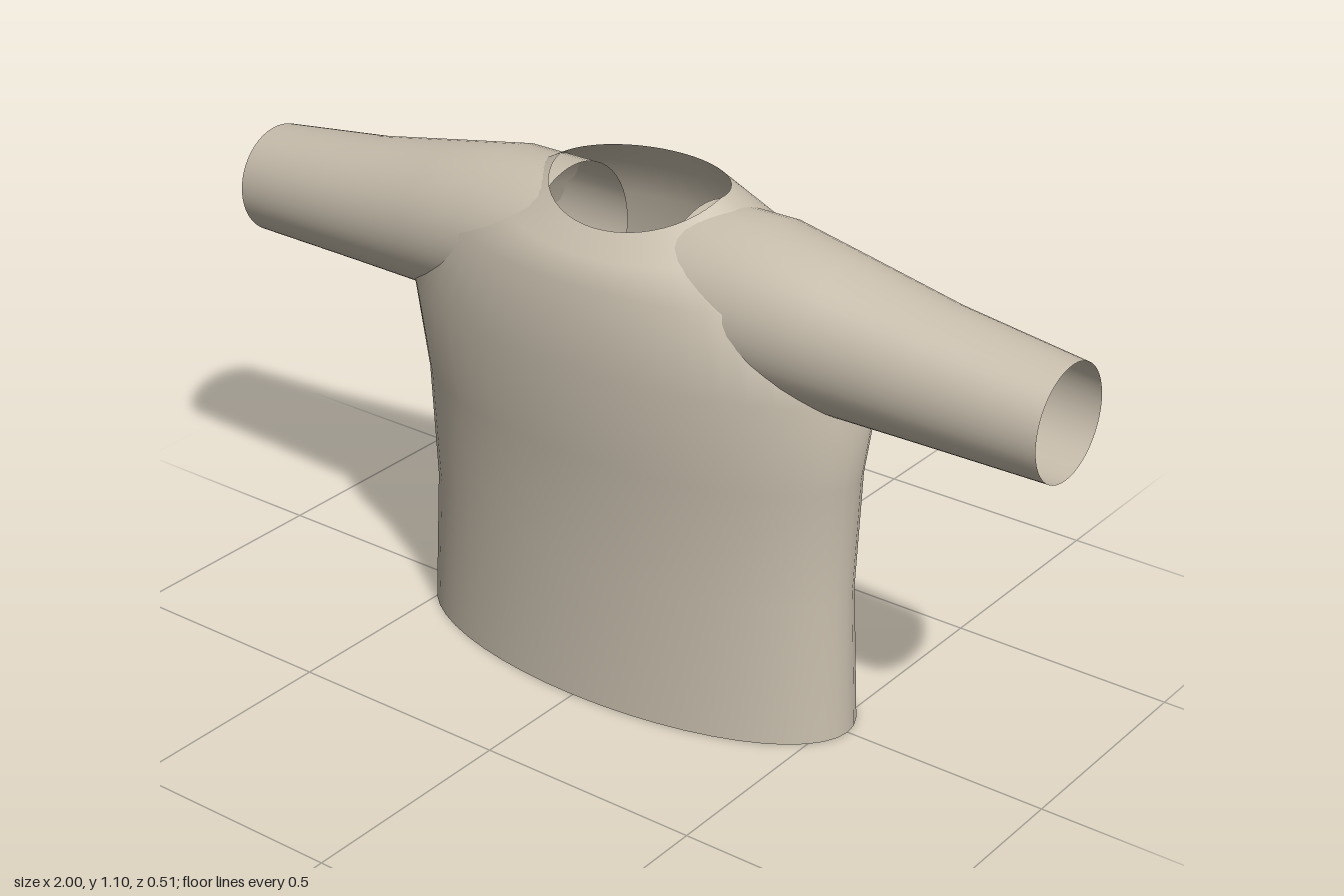
import * as THREE from 'three';

const SIDES = 48;

// Open tube lofted through rings; pointAt(ring, angle) returns [x, y, z]
function loft(rings, pointAt) {
  const positions = [];
  const index = [];
  rings.forEach((ring, j) => {
    for (let i = 0; i < SIDES; i++) {
      positions.push(...pointAt(ring, (i / SIDES) * Math.PI * 2));
      if (j === rings.length - 1) continue;
      const a = j * SIDES + i;
      const b = j * SIDES + ((i + 1) % SIDES);
      index.push(a, a + SIDES, b, b, a + SIDES, b + SIDES);
    }
  });
  const geometry = new THREE.BufferGeometry();
  geometry.setAttribute('position', new THREE.Float32BufferAttribute(positions, 3));
  geometry.setIndex(index);
  geometry.computeVertexNormals();
  return geometry;
}

export function createModel() {
  const group = new THREE.Group();
  group.name = 'shirt';
  const cloth = new THREE.MeshStandardMaterial({ color: 0xc8bead, side: THREE.DoubleSide });
  cloth.name = 'beige cloth';

  // Torso: oval rings from hem to neckline; dip lowers the front of the collar
  const torsoRings = [
    { y: 0, a: 0.54, b: 0.23, dip: 0 },
    { y: 0.31, a: 0.525, b: 0.22, dip: 0 },
    { y: 0.57, a: 0.535, b: 0.235, dip: 0 },
    { y: 0.775, a: 0.565, b: 0.257, dip: 0 },
    { y: 0.945, a: 0.48, b: 0.235, dip: 0 },
    { y: 1.035, a: 0.32, b: 0.195, dip: 0.045 },
    { y: 1.098, a: 0.2, b: 0.147, dip: 0.065 },
  ];
  const torso = new THREE.Mesh(loft(torsoRings, ({ y, a, b, dip }, t) => {
    const front = Math.max(0, Math.sin(t));
    return [a * Math.cos(t), y - dip * Math.pow(front, 1.2), b * Math.sin(t)];
  }), cloth);
  torso.name = 'torso';
  group.add(torso);

  // Sleeves: tapering open tubes with a level underside, reaching into the torso
  const underside = 0.73;
  const sleeveRings = [
    { x: 0.165, r: 0.175 },
    { x: 0.33, r: 0.175 },
    { x: 0.5, r: 0.159 },
    { x: 0.72, r: 0.138 },
    { x: 1, r: 0.12 },
  ];
  for (const side of [1, -1]) {
    const sleeve = new THREE.Mesh(loft(sleeveRings, ({ x, r }, t) => [
      side * x,
      underside + r + r * Math.cos(t),
      -side * r * Math.sin(t),
    ]), cloth);
    sleeve.name = side > 0 ? 'leftSleeve' : 'rightSleeve';
    group.add(sleeve);
  }
  return group;
}
